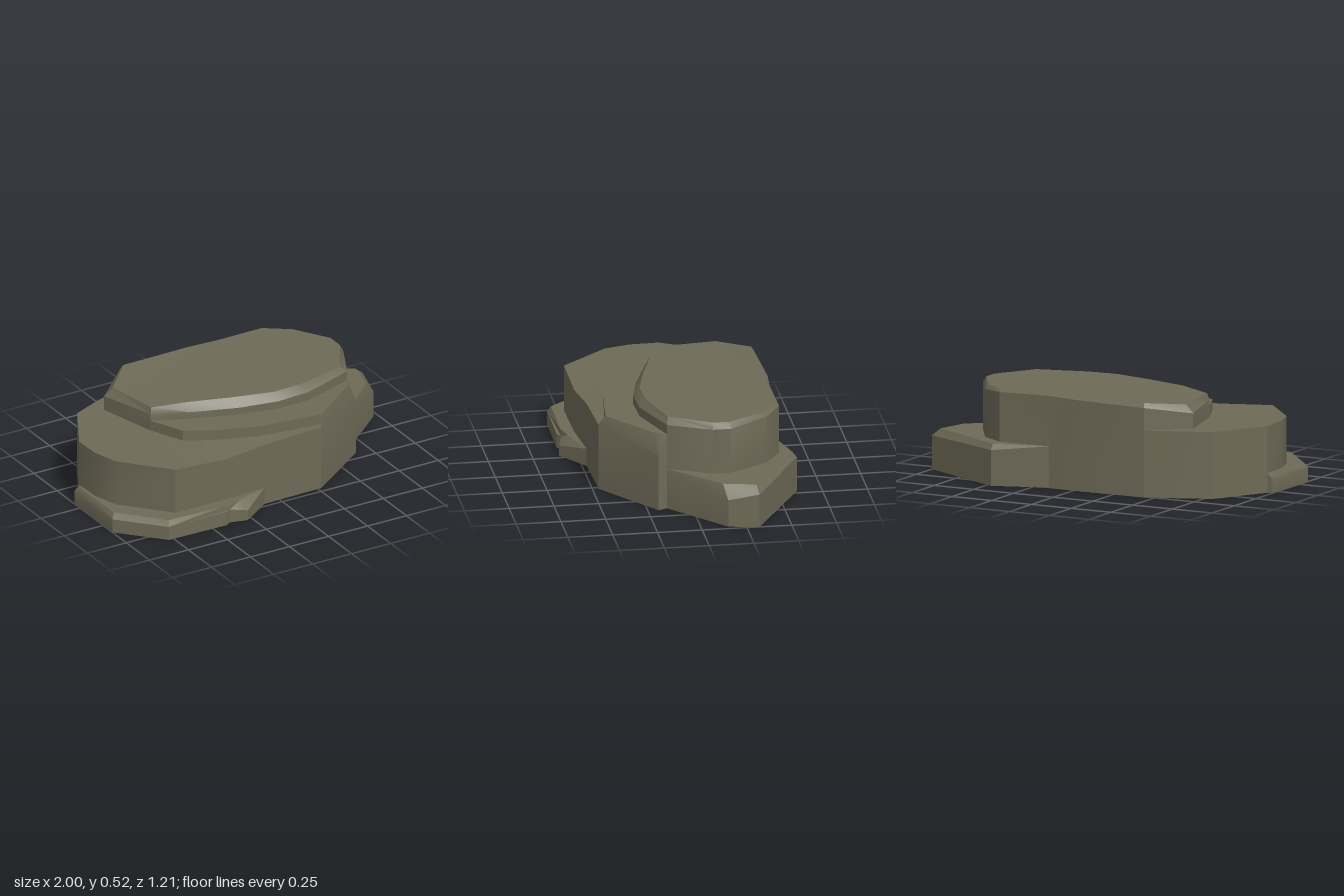
import * as THREE from 'three';
import { toCreasedNormals } from 'three/addons/utils/BufferGeometryUtils.js';

// Plan positions [x, z] of the corners, in named runs
const runs = {
  // rim of the top slab: outer (o) and inner (t)
  o: [[-.56, .02], [-.36, .11], [-.1, .2], [.12, .25], [.32, .245], [.63, .14], [.745, -.1],
    [.745, -.2], [.61, -.42], [.47, -.51], [.16, -.505], [0, -.52], [-.44, -.51], [-.65, -.33]],
  t: [[-.55, .01], [-.36, .08], [-.1, .16], [.12, .215], [.3, .205], [.59, .13], [.725, -.1],
    [.725, -.2], [.6, -.4], [.46, -.5], [.17, -.495], [0, -.505], [-.43, -.495], [-.6, -.32]],
  // front ledge
  b: [[-.47, .22], [-.32, .3], [-.1, .38], [.1, .41], [.29, .43], [.6, .2]],
  f: [[.27, .465], [.655, .19]],
  // left terrace
  c: [[-.63, -.445], [-.8, -.37], [-.97, -.06], [-.965, .1], [-.92, .25], [-.69, .51], [-.35, .505], [-.1, .475]],
  // low skirt: outer (d) and inner (s)
  d: [[-1, -.06], [-1, .35], [-.78, .59], [-.41, .595], [-.38, .575], [-.28, .6]],
  s: [[-.985, .0], [-.98, .33], [-.77, .57], [-.42, .575], [-.37, .555], [-.3, .55]],
  // right lobe: outer (e) and inner (g)
  e: [[.97, -.15], [1, -.32], [.47, -.61]],
  g: [[.91, -.13], [.95, -.31], [.47, -.585]],
};
const plan = {};
for (const [k, list] of Object.entries(runs)) list.forEach((p, i) => { plan[k + i] = p; });

// Regions of the plan: default height, corner names, heights that differ
const ledgeFront = 'o0 b0 b1 b2 b3 b4 b5 o5 o4 o3 o2 o1';
const regions = [
  ['topSlab', .525, 't0 t1 t2 t3 t4 t5 t6 t7 t8 t9 t10 t11 t12 t13', { t0: .51, t13: .505 }],
  ['frontLedge', .435, ledgeFront, {}],
  ['frontLedge', .435, 'b4 f0 f1 o5 b5', { f0: .385, f1: .32 }],
  ['leftTerrace', .375, 'o0 o13 o12 c0 c1 c2 c3 c4 c5 b0', {}],
  ['leftTerrace', .375, 'b0 c5 c6', { c6: .355 }],
  ['leftTerrace', .375, 'b0 c6 c7 f0 b4 b3 b2 b1', { c6: .355, c7: .365 }],
  ['lowSkirt', .11, 'c2 s0 s1 s2 s3 s4 s5 c7 c6 c5 c4 c3', { c7: .1 }],
  ['lowSkirt', .08, 'c2 d0 d1 d2 d3 d4 d5 c7 s5 s4 s3 s2 s1 s0',
    { c2: .11, c7: .1, s0: .11, s1: .11, s2: .11, s3: .11, s4: .11, s5: .11, d5: .06 }],
  ['rightLobe', .232, 'o5 g0 g1 g2 o10 o9 o8 o7 o6', {}],
  ['rightLobe', .232, 'o5 e0 e1 e2 o10 g2 g1 g0', { e0: .155, e1: .19, e2: .2 }],
];
// Bevel around the top slab, one facet per side
const rimY = [.475, .475, .475, .48, .485, .49, .49, .49, .5, .51, .515, .51, .5, .46];
const slabY = i => (i === 0 ? .51 : i === 13 ? .505 : .525);
for (let i = 0; i < 14; i++) {
  const j = (i + 1) % 14;
  regions.push(['topSlab', 0, `o${i} o${j} t${j} t${i}`,
    { ['o' + i]: rimY[i], ['o' + j]: rimY[j], ['t' + i]: slabY(i), ['t' + j]: slabY(j) }]);
}

export function createModel() {
  const rock = new THREE.MeshStandardMaterial({ color: 0x6e6a57, side: THREE.DoubleSide });
  rock.name = 'rock';
  const model = new THREE.Group();
  model.name = 'terracedRock';
  const parts = {};
  const edges = {};
  const at = (n, y) => new THREE.Vector3(plan[n][0], y, plan[n][1]);
  const addTri = (part, a, b, c) => {
    const area = b.clone().sub(a).cross(c.clone().sub(a)).length();
    if (area > 1e-6) for (const v of [a, b, c]) (parts[part] ??= []).push(v.x, v.y, v.z);
  };

  // Tops of the regions; each edge is noted for the walls
  for (const [part, h, text, other] of regions) {
    let names = text.split(' ');
    const outline = () => names.map(n => new THREE.Vector2(...plan[n]));
    if (THREE.ShapeUtils.area(outline()) > 0) names = names.reverse();
    const y = n => other[n] ?? h;
    for (const tri of THREE.ShapeUtils.triangulateShape(outline(), [])) {
      const [a, b, c] = tri.map(i => at(names[i], y(names[i])));
      const up = b.clone().sub(a).cross(c.clone().sub(a)).y > 0;
      addTri(part, a, up ? b : c, up ? c : b);
    }
    names.forEach((a, i) => {
      const b = names[(i + 1) % names.length];
      (edges[[a, b].sort().join()] ??= []).push({ part, a, b, ya: y(a), yb: y(b) });
    });
  }

  // Walls drop from the higher region to its neighbour, or to the ground
  for (const pair of Object.values(edges)) {
    pair.sort((p, q) => q.ya + q.yb - p.ya - p.yb);
    const [hi, lo] = pair;
    const la = lo ? lo.yb : 0, lb = lo ? lo.ya : 0;
    const A = at(hi.a, la), B = at(hi.b, lb), C = at(hi.b, hi.yb), D = at(hi.a, hi.ya);
    addTri(hi.part, A, B, C);
    addTri(hi.part, A, C, D);
  }

  for (const [name, pos] of Object.entries(parts)) {
    const geo = new THREE.BufferGeometry();
    geo.setAttribute('position', new THREE.Float32BufferAttribute(pos, 3));
    const mesh = new THREE.Mesh(toCreasedNormals(geo, 0.5), rock);
    mesh.name = name;
    model.add(mesh);
  }
  return model;
}
